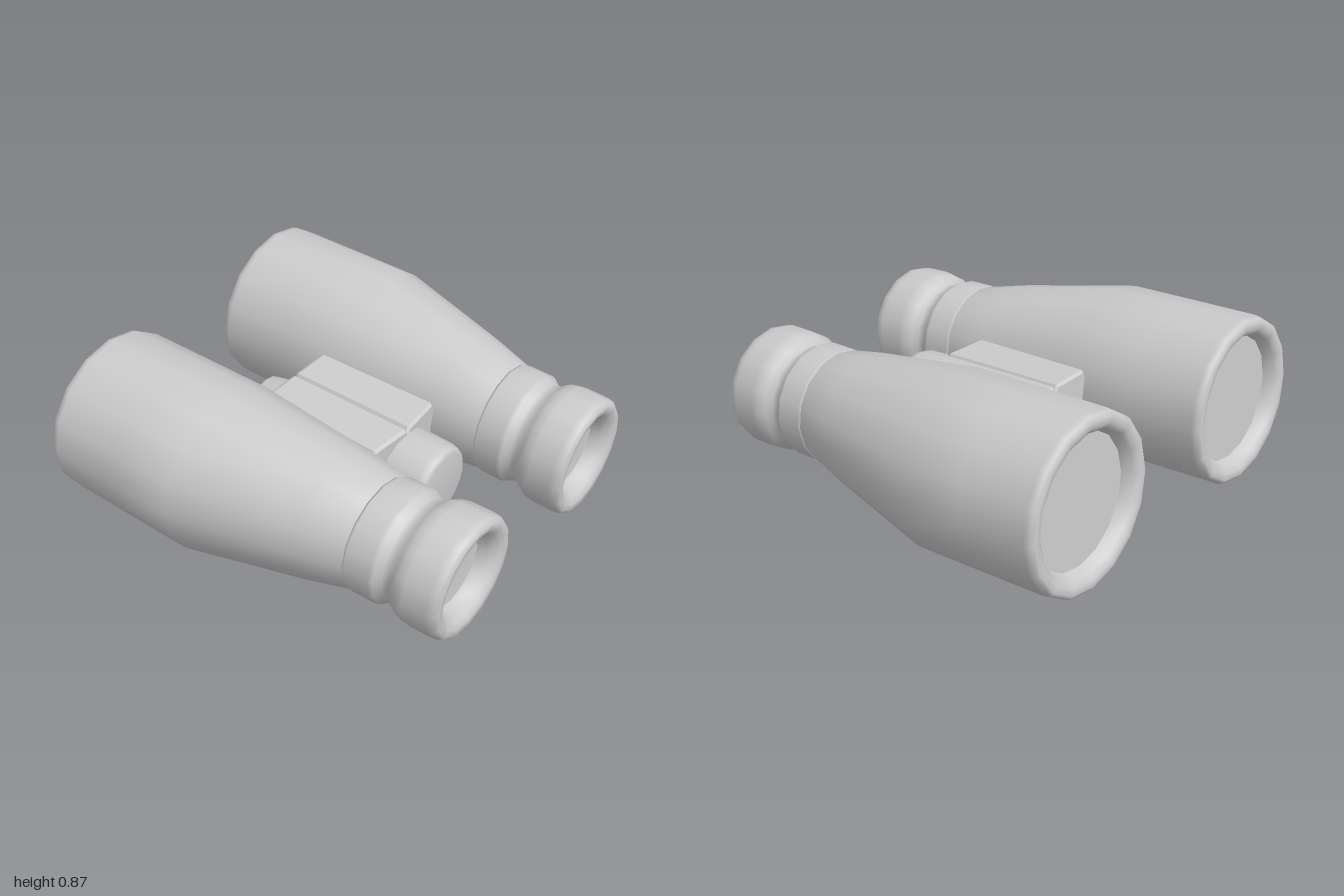
import * as THREE from 'three';
import { mergeVertices, toCreasedNormals } from 'three/addons/utils/BufferGeometryUtils.js';

const material = new THREE.MeshStandardMaterial({ color: 0xcccccc, roughness: 0.7 });

// Lathe along z from [radius, z] pairs, listed back to front; bend shifts x as a function of z
function turned(name, profile, sides = 16, bend = null) {
  let g = new THREE.LatheGeometry(profile.map(([r, z]) => new THREE.Vector2(r, z)), sides);
  g.rotateX(Math.PI / 2);
  if (bend) {
    const p = g.attributes.position;
    for (let i = 0; i < p.count; i++) p.setX(i, p.getX(i) + bend(p.getZ(i)));
  }
  g.deleteAttribute('uv');
  g.deleteAttribute('normal');
  g = mergeVertices(g, 1e-4);
  g.computeVertexNormals();
  const mesh = new THREE.Mesh(g, material);
  mesh.name = name;
  return mesh;
}

// Sideways position of a barrel's centre line: parallel at the back, closing in to the eyepiece
function centreLine(z) {
  if (z < -0.28) return 0.595;
  if (z < 0.51) return THREE.MathUtils.mapLinear(z, -0.28, 0.51, 0.595, 0.508);
  return THREE.MathUtils.mapLinear(z, 0.51, 1, 0.508, 0.492);
}

function barrel(side) {
  const group = new THREE.Group();
  group.name = side > 0 ? 'leftBarrel' : 'rightBarrel';
  const bend = z => side * centreLine(z);

  // Objective rim, straight tube and taper
  group.add(turned('barrelTube', [
    [0.3, -0.91], [0.32, -0.96], [0.345, -0.978], [0.375, -0.98], [0.392, -0.968],
    [0.399, -0.94], [0.402, -0.6], [0.404, -0.28], [0.312, 0.3], [0.27, 0.505], [0.25, 0.51],
  ], 16, bend));
  group.add(turned('objectiveLens', [[0.305, -0.91], [0, -0.91]].reverse(), 16, bend));

  // Eyepiece with a groove and a rounded, hollow rim
  group.add(turned('eyepiece', [
    [0.24, 0.5], [0.265, 0.505], [0.274, 0.52], [0.275, 0.64], [0.268, 0.66], [0.246, 0.69],
    [0.246, 0.72], [0.268, 0.75], [0.286, 0.78], [0.292, 0.82], [0.292, 0.93], [0.286, 0.965],
    [0.268, 0.983], [0.238, 0.98], [0.21, 0.962], [0.19, 0.93], [0.18, 0.88],
  ], 16, bend));
  group.add(turned('eyeLens', [[0.184, 0.885], [0, 0.865]], 16, bend));
  group.position.y = side * 0.006;
  return group;
}

// Hinge body between the barrels, creased along its middle
function hingeBody() {
  const half = [[0, 0.105], [0.018, 0.13], [0.205, 0.13], [0.25, 0.05], [0.335, -0.265], [0.02, -0.33], [0, -0.31]];
  const outline = [...half, ...half.slice(1, -1).reverse().map(([x, y]) => [-x, y])];
  const shape = new THREE.Shape(outline.map(([x, y]) => new THREE.Vector2(x, y)));
  const g = new THREE.ExtrudeGeometry(shape, {
    depth: 0.61, bevelEnabled: true, bevelThickness: 0.015, bevelSize: 0.01, bevelSegments: 1,
  });
  g.translate(0, 0, -0.345);
  const p = g.attributes.position;
  for (let i = 0; i < p.count; i++) {
    const x = p.getX(i), z = p.getZ(i);
    p.setX(i, x * (1.04 + 0.12 * z));
    if (z > 0) p.setZ(i, z + 0.02 * Math.max(0, 1 - Math.abs(x) / 0.22));
  }
  const mesh = new THREE.Mesh(toCreasedNormals(g, 0.4), material);
  mesh.name = 'hingeBody';
  return mesh;
}

export function createModel() {
  const model = new THREE.Group();
  model.name = 'binoculars';

  // Everything is built along z, then tipped slightly down towards the eyepieces
  const tilted = new THREE.Group();
  tilted.name = 'tiltedAssembly';
  tilted.position.y = 0.42;
  tilted.rotation.x = 0.052;
  model.add(tilted);

  tilted.add(barrel(1), barrel(-1), hingeBody());

  // Focus knob in front, tapered hinge cap behind
  const knob = turned('focusKnob', [
    [0.19, 0.22], [0.198, 0.3], [0.193, 0.46], [0.183, 0.495], [0.165, 0.51], [0, 0.512],
  ]);
  const cap = turned('hingeCap', [
    [0, -0.545], [0.095, -0.543], [0.115, -0.525], [0.143, -0.38], [0.15, -0.34],
  ]);
  for (const part of [knob, cap]) {
    part.position.y = -0.085;
    tilted.add(part);
  }

  // Two small round feet under the body
  for (const side of [1, -1]) {
    const foot = turned('foot', [
      [0.066, -0.05], [0.068, 0.065], [0.056, 0.09], [0.03, 0.1], [0, 0.102],
    ], 12);
    foot.geometry.rotateX(Math.PI / 2);
    foot.position.set(side * 0.13, -0.32, -0.16);
    foot.rotation.z = side * 0.2;
    tilted.add(foot);
  }

  return model;
}
